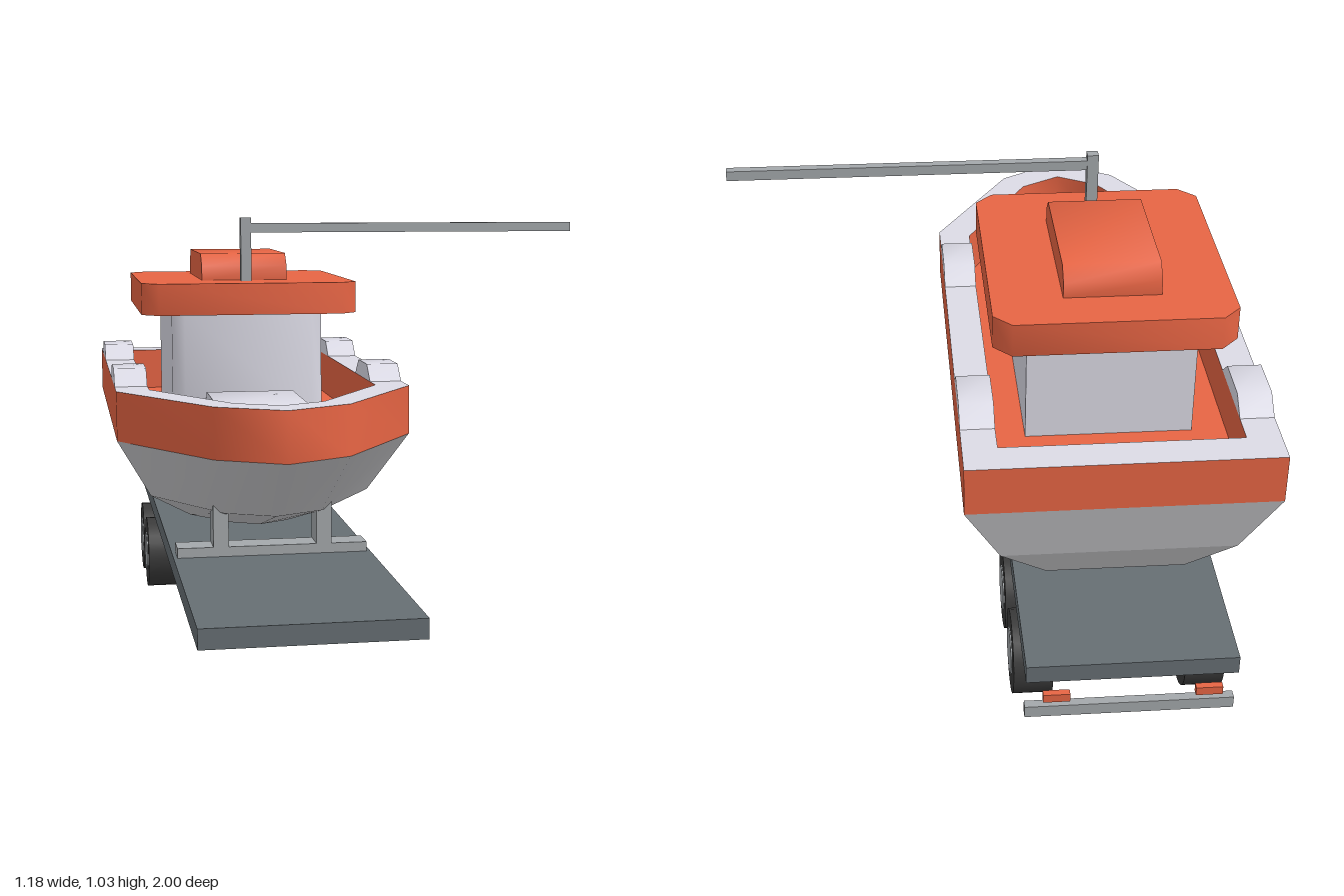
import * as THREE from 'three';
import { toCreasedNormals } from 'three/addons/utils/BufferGeometryUtils.js';

function mat(name, color) {
  const m = new THREE.MeshStandardMaterial({ color });
  m.name = name;
  return m;
}

export function createModel() {
  const orange = mat('orange', 0xe86544);
  const pale = mat('paleGrey', 0xdcdbe6);
  const hullGrey = mat('hullGrey', 0xcccccf);
  const steel = mat('steel', 0xa4a8ab);
  const bedGrey = mat('bedGrey', 0x666e73);
  const rubber = mat('rubber', 0x3a3a3a);

  const model = new THREE.Group();
  model.name = 'boatOnTrailer';
  const body = new THREE.Group();
  body.name = 'boatAndTrailer';
  body.position.x = -0.25; // boom reaches out to +x, so the boat sits off centre
  model.add(body);

  const add = (name, geo, material) => {
    const mesh = new THREE.Mesh(geo, material);
    mesh.name = name;
    body.add(mesh);
    return mesh;
  };

  // box given by its extents
  const box = (name, material, x0, x1, y0, y1, z0, z1) =>
    add(name, new THREE.BoxGeometry(x1 - x0, y1 - y0, z1 - z0), material)
      .position.set((x0 + x1) / 2, (y0 + y1) / 2, (z0 + z1) / 2);

  // plan outline of a boat level: [x, z], counter-clockwise seen from above
  const plan = (half, back, start, shoulderX, shoulderZ, bow) => [
    [-half, back], [-half, start], [-shoulderX, shoulderZ], [0, bow],
    [shoulderX, shoulderZ], [half, start], [half, back],
  ];
  const toShape = (pts) => new THREE.Shape(pts.map(([x, z]) => new THREE.Vector2(x, -z)));

  // plan shape raised from y0 to y1
  const slab = (shape, y0, y1) => {
    const g = new THREE.ExtrudeGeometry(shape, { depth: y1 - y0, bevelEnabled: false });
    g.rotateX(-Math.PI / 2).translate(0, y0, 0);
    return toCreasedNormals(g, 1.1);
  };

  // side profile [z, y] stretched across x
  const across = (pts, width) => {
    const shape = new THREE.Shape(pts.map(([z, y]) => new THREE.Vector2(z, y)));
    const g = new THREE.ExtrudeGeometry(shape, { depth: width, bevelEnabled: false });
    g.translate(0, 0, -width / 2).rotateY(-Math.PI / 2);
    return toCreasedNormals(g, 0.9);
  };

  // skin between a lower and an upper outline
  const skin = (low, yLow, high, yHigh) => {
    const v = [];
    low.forEach((a, i) => {
      const j = (i + 1) % low.length;
      const A = [a[0], yLow, a[1]], B = [low[j][0], yLow, low[j][1]];
      const C = [high[j][0], yHigh, high[j][1]], D = [high[i][0], yHigh, high[i][1]];
      v.push(...A, ...B, ...C, ...A, ...C, ...D);
    });
    const g = new THREE.BufferGeometry();
    g.setAttribute('position', new THREE.Float32BufferAttribute(v, 3));
    return toCreasedNormals(g, 1.1);
  };

  // Hull: sheer, chine and bottom outlines
  const sheer = plan(0.341, -0.782, 0.265, 0.148, 0.57, 0.655);
  const chine = plan(0.26, -0.74, 0.16, 0.11, 0.405, 0.46);
  const bottom = plan(0.155, -0.7, 0.0, 0.07, 0.11, 0.15);
  add('hullSide', skin(chine, 0.377, sheer, 0.526), hullGrey);
  add('hullBilge', skin(bottom, 0.297, chine, 0.377), hullGrey);
  const keel = new THREE.ShapeGeometry(toShape(bottom));
  add('hullBottom', keel.rotateX(-Math.PI / 2).rotateZ(Math.PI).translate(0, 0.297, 0), hullGrey);

  // Bulwark ring with a pale top rail, and the deck inside it
  const inner = plan(0.265, -0.705, 0.24, 0.1, 0.515, 0.57);
  const ring = toShape(sheer);
  ring.holes.push(toShape(inner));
  add('bulwark', slab(ring, 0.526, 0.64), [pale, orange]);
  add('deck', slab(toShape(inner), 0.526, 0.532), orange);

  // Raised blocks on the side rails
  for (const side of [-1, 1]) {
    for (const z of [0.077, -0.537]) {
      const bump = [[-0.098, 0.64], [0.098, 0.64], [0.055, 0.678], [-0.055, 0.678]];
      add('railBlock', across(bump, 0.076), pale).position.set(side * 0.303, 0, z);
    }
  }

  // Cabin with cut front corners
  add('cabin', slab(toShape([
    [-0.188, -0.515], [-0.188, -0.08], [-0.158, -0.052],
    [0.158, -0.052], [0.188, -0.08], [0.188, -0.515],
  ]), 0.53, 0.797), pale);

  // Roof with four cut corners
  const c = 0.04, rx = 0.265, rf = 0.018, rb = -0.59;
  add('roof', slab(toShape([
    [-rx, rb + c], [-rx, rf - c], [-rx + c, rf], [rx - c, rf],
    [rx, rf - c], [rx, rb + c], [rx - c, rb], [-rx + c, rb],
  ]), 0.792, 0.869), orange);

  // Chamfered housings on the roof and foredeck
  const housing = (name, material, z, y) => {
    const pts = [[-0.178, 0], [0.178, 0], [0.178, 0.035], [0.148, 0.066], [-0.148, 0.066], [-0.178, 0.035]];
    add(name, across(pts, 0.215), material).position.set(0, y, z);
  };
  housing('roofHousing', orange, -0.306, 0.869);
  housing('foredeckHatch', pale, 0.117, 0.532);

  // Mast and boom
  box('mast', steel, -0.013, 0.013, 0.275, 1.026, -0.111, -0.086);
  box('boom', steel, -0.01, 0.84, 0.989, 1.012, -0.109, -0.088);

  // Trailer bed and cradle
  box('trailerBed', bedGrey, -0.225, 0.225, 0.233, 0.275, -0.982, 1);
  box('frontCradle', steel, -0.216, 0.216, 0.275, 0.297, 0.32, 0.39);
  box('rearCradle', steel, -0.216, 0.216, 0.275, 0.297, -0.51, -0.44);
  box('rearBar', steel, -0.225, 0.225, 0.118, 0.146, -0.964, -0.944);

  // Mirrored cradle posts, tail lights and wheels
  for (const s of [-1, 1]) {
    const span = (a, b) => (s > 0 ? [a, b] : [-b, -a]);
    box('cradlePost', steel, ...span(0.1, 0.135), 0.297, 0.393, 0.32, 0.39);
    box('tailLight', orange, ...span(0.133, 0.19), 0.192, 0.212, -1, -0.985);
    for (const z of [-0.511, -0.73]) {
      const tyre = new THREE.CylinderGeometry(0.095, 0.095, 0.088, 28).rotateZ(Math.PI / 2);
      add('tyre', tyre, rubber).position.set(s * 0.1915, 0.095, z);
      const hub = new THREE.CylinderGeometry(0.053, 0.053, 0.094, 20).rotateZ(Math.PI / 2);
      add('hub', hub, steel).position.set(s * 0.1915, 0.096, z);
    }
  }

  return model;
}
